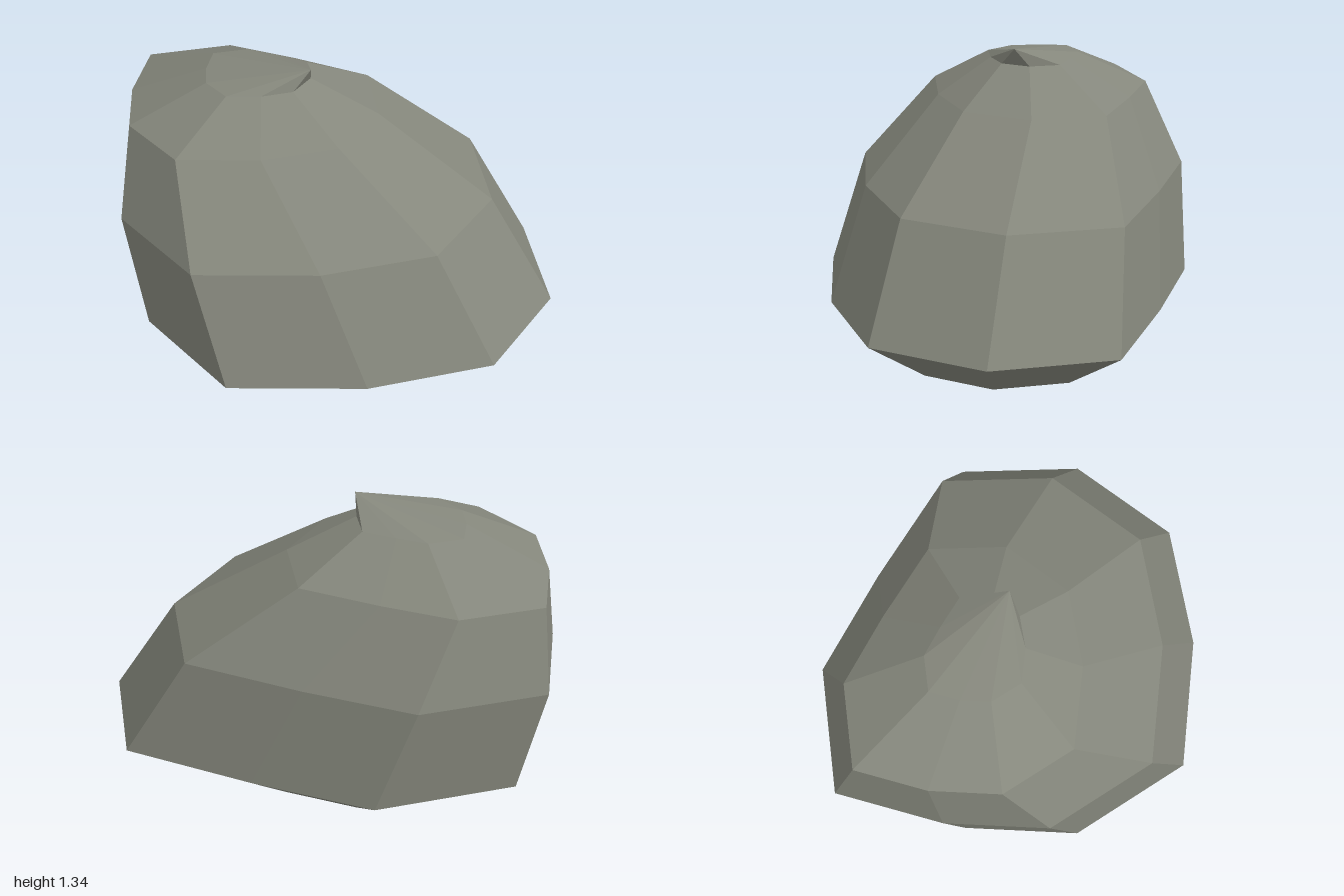
import * as THREE from 'three';

// Widest outline of the rock, [x, z], running from the left side towards the front
const OUTLINE = [
  [1.0, -0.03], [0.79, 0.49], [0.27, 0.74], [-0.33, 0.84], [-0.775, 0.45],
  [-0.89, -0.05], [-0.89, -0.593], [-0.31, -0.845], [0.24, -0.73], [0.83, -0.57],
];

// Each level is the outline scaled and shifted: [y, scale, shift x, shift z]
const LEVELS = [
  [0, 0.6, 0, 0],
  [0.253, 1, 0, 0],
  [0.735, 0.9, -0.2, -0.056],
  [1.09, 0.6, -0.43, -0.13],
  [1.26, 0.25, -0.38, -0.11],
  [1.342, 0, -0.115, -0.05], // leaning tip
];

const ring = ([y, s, dx, dz]) => OUTLINE.map(([x, z]) => [x * s + dx, y, z * s + dz]);

function facetMesh(name, triangles, material) {
  const geometry = new THREE.BufferGeometry();
  geometry.setAttribute('position', new THREE.Float32BufferAttribute(triangles.flat(2), 3));
  geometry.computeVertexNormals();
  const mesh = new THREE.Mesh(geometry, material);
  mesh.name = name;
  return mesh;
}

export function createModel() {
  const stone = new THREE.MeshStandardMaterial({ color: 0x85877c, flatShading: true });
  stone.name = 'grey stone';
  const slate = new THREE.MeshStandardMaterial({ color: 0x3f4a4b, flatShading: true });
  slate.name = 'dark slate';

  const rings = LEVELS.map(ring);
  const n = OUTLINE.length;
  const sides = [];
  const base = [];

  for (let i = 0; i < n; i++) {
    const j = (i + 1) % n;
    // Faceted flanks, closing to a point at the tip
    for (let k = 0; k < rings.length - 1; k++) {
      const low = rings[k], high = rings[k + 1];
      sides.push([low[i], high[i], low[j]]);
      if (LEVELS[k + 1][1] > 0) sides.push([low[j], high[i], high[j]]);
    }
    // Flat underside
    base.push([[0, 0, 0], rings[0][i], rings[0][j]]);
  }

  const rock = new THREE.Group();
  rock.name = 'rock';
  rock.add(facetMesh('rockBody', sides, stone), facetMesh('rockUnderside', base, slate));
  return rock;
}
